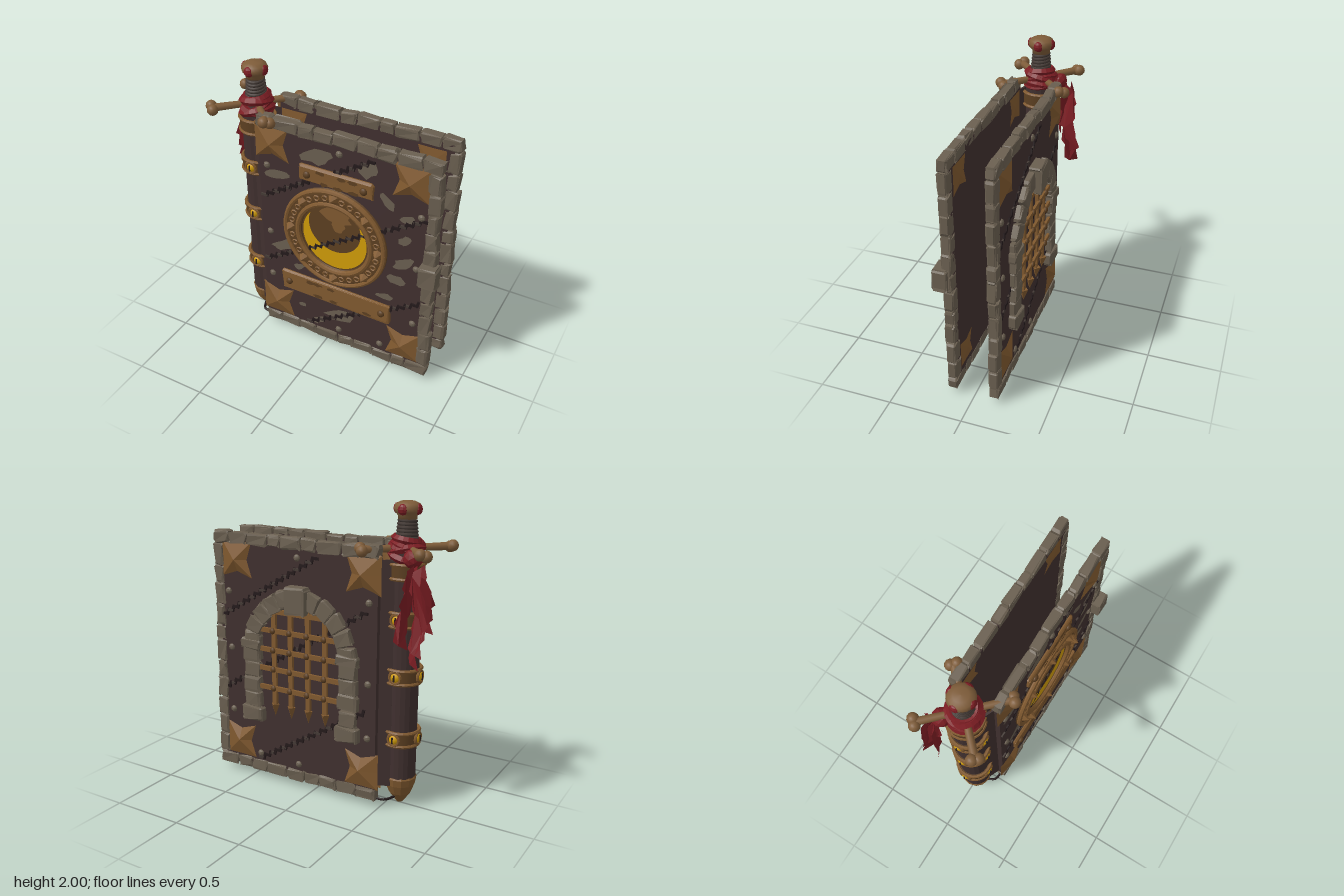
import * as THREE from 'three';
import { RoundedBoxGeometry } from 'three/addons/geometries/RoundedBoxGeometry.js';

const paint = (name, color, opts = {}) => {
  const m = new THREE.MeshStandardMaterial({ color, ...opts });
  m.name = name;
  return m;
};
const flat = { flatShading: true };
const leather = paint('leather', 0x40302f, flat);
const stone = paint('stone', 0x6a5f50, flat);
const brass = paint('brass', 0x80592f, flat);
const bronze = paint('dark bronze', 0x5c3f21);
const bone = paint('bone', 0x7e5c39);
const gold = paint('gold', 0xd09c08);
const red = paint('red cloth', 0x7c1d23, { flatShading: true, side: THREE.DoubleSide });
const dark = paint('dark seam', 0x241a1b, flat);
const wrap = paint('grip wrap', 0x443a35);

let seed = 7;
const rnd = () => (seed = (seed * 16807) % 2147483647) / 2147483647;
const spread = a => (rnd() - 0.5) * 2 * a;

const add = (parent, name, geo, mat, x = 0, y = 0, z = 0) => {
  const m = new THREE.Mesh(geo, mat);
  m.name = name;
  m.position.set(x, y, z);
  parent.add(m);
  return m;
};

// Rough hewn block; coincident corners move together
function block(w, h, d, rough = 0.007) {
  const g = new RoundedBoxGeometry(w, h, d, 1, 0.013), p = g.attributes.position, k = rnd() * 50;
  const n = (a, b, c, s) => Math.sin(Math.round(a * 500) * 12.9 + Math.round(b * 500) * 78.2 + Math.round(c * 500) * 37.7 + s);
  for (let i = 0; i < p.count; i++) {
    const [x, y, z] = [p.getX(i), p.getY(i), p.getZ(i)];
    p.setXYZ(i, x + rough * n(x, y, z, k), y + rough * n(x, y, z, k + 2), z + rough * 0.5 * n(x, y, z, k + 4));
  }
  g.computeVertexNormals();
  return g;
}

// Corner ornament: faceted four-pointed star with filled sides toward the edges
function star(sx, sy, height) {
  const g = new THREE.ConeGeometry(1, height, 8).rotateX(Math.PI / 2), p = g.attributes.position;
  const reach = [sx > 0 ? 0.125 : 0.085, 0.18, sy > 0 ? 0.125 : 0.085, 0.18, sx < 0 ? 0.125 : 0.085, 0.18, sy < 0 ? 0.125 : 0.085, 0.18];
  for (let i = 0; i < p.count; i++) {
    const r = reach[(Math.round(Math.atan2(p.getY(i), p.getX(i)) / (Math.PI / 4)) + 8) % 8];
    p.setXY(i, p.getX(i) * r, p.getY(i) * r);
  }
  g.computeVertexNormals();
  return g.translate(0, 0, height / 2);
}

// Irregular thin patch
function blob(rx, ry) {
  const pts = [];
  for (let i = 0; i < 12; i++) {
    const a = i * Math.PI / 6, r = 0.7 + rnd() * 0.45;
    pts.push(new THREE.Vector2(Math.cos(a) * rx * r, Math.sin(a) * ry * r));
  }
  return new THREE.ShapeGeometry(new THREE.Shape(pts));
}
const dome = r => new THREE.SphereGeometry(r, 10, 6).scale(1, 1, 0.7);

// Run of edge stones between two ends
function stoneRun(parent, from, to, fixed, vertical) {
  const n = Math.round((to - from) / 0.14), cuts = [from];
  for (let i = 1; i < n; i++) cuts.push(from + (to - from) * i / n + spread(0.025));
  cuts.push(to);
  for (let i = 0; i < n; i++) {
    const l = cuts[i + 1] - cuts[i] - 0.003, c = (cuts[i] + cuts[i + 1]) / 2, t = 0.08 + spread(0.006);
    add(parent, 'edgeStone', vertical ? block(t, l, 0.066) : block(l, t, 0.066), stone,
      vertical ? fixed : c, vertical ? c : fixed, 0.144 + spread(0.003));
  }
}

// One cover facing +z; out is the side away from the spine
function cover(out) {
  const g = new THREE.Group();
  add(g, 'coverBoard', new THREE.BoxGeometry(1.22, 1.62, 0.05), leather, -out * 0.02, 0.892, 0.14);
  stoneRun(g, -0.635, 0.635, 1.698, false);
  stoneRun(g, -0.635, 0.635, 0.087, false);
  stoneRun(g, 0.13, 1.655, out * 0.595, true);
  for (const sx of [-1, 1]) for (const sy of [-1, 1]) {
    const x = sx === out ? out * 0.445 : -out * 0.525, y = sy > 0 ? 1.555 : 0.255;
    add(g, 'cornerStar', star(sx, sy, 0.042), brass, x, y, 0.163);
    add(g, 'innerCornerStar', star(-sx, sy, 0.008), brass, x, y, 0.117).rotation.y = Math.PI;
  }
  // braided scars running diagonally
  for (const [x1, y1, x2, y2] of [[-0.6, 1.14, 0.18, 1.62], [-0.6, 0.61, 0.54, 1.31], [-0.27, 0.15, 0.54, 0.65]]) {
    const len = Math.hypot(x2 - x1, y2 - y1), n = Math.round(len / 0.027), a = Math.atan2(y2 - y1, x2 - x1);
    for (let i = 0; i <= n; i++) {
      const s = add(g, 'braidedScar', new THREE.BoxGeometry(0.05, 0.018, 0.016), i % 4 ? dark : wrap,
        x1 + (x2 - x1) * i / n, y1 + (y2 - y1) * i / n, 0.167);
      s.rotation.z = a + (i % 2 ? 0.75 : -0.55);
    }
  }
  // rivets
  for (const [x, y] of [[-0.04, 1.61], [-0.04, 0.17], [0.28, 0.18], [-0.57, 1.38], [0.52, 1.33], [0.51, 0.47], [-0.57, 0.48], [0.51, 0.93], [-0.57, 0.85]])
    add(g, 'rivet', dome(0.024), stone, x * out, y, 0.166);
  return g;
}

function frontDetails(g) {
  const cx = -0.07, cy = 0.965;
  // worn patches
  for (const [x, y, rx, ry, a] of [[-0.2, 1.55, 0.12, 0.06, 0.2], [0.16, 1.56, 0.08, 0.06, 0.5], [0.3, 1.37, 0.07, 0.035, -0.7], [-0.5, 1.33, 0.1, 0.035, 0.2],
    [0.43, 1.28, 0.05, 0.03, 0.5], [0.42, 0.94, 0.08, 0.04, 0.6], [0.37, 0.79, 0.07, 0.04, 0], [-0.47, 0.76, 0.11, 0.045, 0.5], [-0.03, 0.3, 0.14, 0.05, 0.2],
    [-0.33, 0.28, 0.03, 0.02, 0], [-0.2, 0.19, 0.07, 0.03, 0.6], [0.42, 1.12, 0.05, 0.03, 0.7], [0.3, 0.62, 0.06, 0.03, 0.2], [-0.35, 0.62, 0.05, 0.03, 0.4]])
    add(g, 'wornPatch', blob(rx, ry), stone, x, y, 0.167).rotation.z = a;
  // medallion ring
  const ring = [[0.245, 0], [0.25, 0.018], [0.265, 0.03], [0.34, 0.03], [0.375, 0.018], [0.38, 0]].map(p => new THREE.Vector2(...p)).reverse();
  add(g, 'medallionRing', new THREE.LatheGeometry(ring, 48).rotateX(Math.PI / 2), bronze, cx, cy, 0.16);
  for (const [r, t] of [[0.362, 0.018], [0.268, 0.02]])
    add(g, 'medallionRim', new THREE.TorusGeometry(r, t, 8, 48), brass, cx, cy, 0.183);
  for (let i = 0; i < 8; i++) {
    const a = i * Math.PI / 4;
    add(g, 'medallionSpike', new THREE.ConeGeometry(0.045, 0.055, 6).rotateX(Math.PI / 2), brass, cx + 0.322 * Math.cos(a), cy + 0.322 * Math.sin(a), 0.207);
    for (const o of [-0.22, 0, 0.22]) {
      const b = a + Math.PI / 8 + o * 0.9;
      add(g, 'engraving', new THREE.TorusGeometry(0.018, 0.006, 4, 8), brass, cx + 0.315 * Math.cos(b), cy + 0.315 * Math.sin(b), 0.19);
    }
  }
  // moon face and crescent
  add(g, 'moonDisc', new THREE.CircleGeometry(0.25, 48), bronze, cx, cy, 0.17);
  const t1 = Math.atan2(0.155, 0.177), t2 = Math.atan2(0.07, 0.177), c = new THREE.Shape();
  c.absarc(0, 0, 0.235, t1, Math.PI - t1, true);
  c.absarc(0, 0.085, 0.19, Math.PI - t2, t2, false);
  add(g, 'crescent', new THREE.ShapeGeometry(c, 32), gold, cx, cy, 0.174);
  add(g, 'moonHighlight', blob(0.12, 0.055), brass, cx + 0.01, cy + 0.185, 0.175);
  add(g, 'moonHighlight', blob(0.05, 0.06), brass, cx + 0.03, cy + 0.11, 0.175);
  // riveted name plates
  for (const [x, y, w, h] of [[-0.06, 1.41, 0.52, 0.115], [-0.065, 0.48, 0.83, 0.155]]) {
    add(g, 'plate', block(w, h, 0.045, 0.005), brass, x, y, 0.165);
    for (const s of [-1, 1]) add(g, 'plateRivet', dome(0.026), bronze, x + s * (w / 2 - 0.06), y, 0.19);
    for (let i = 0; i < 6; i++)
      add(g, 'plateStain', blob(0.035, 0.015), bronze, x + spread(w * 0.4), y + (i % 2 ? 1 : -1) * h * 0.32, 0.192);
  }
  // clasp stone
  add(g, 'claspStone', block(0.12, 0.15, 0.1), stone, 0.605, 0.925, 0.183).rotation.z = 0.06;
}

function backDetails(g) {
  const cx = 0.06, cy = 0.97;
  for (const s of [-1, 1]) {
    add(g, 'archBase', block(0.16, 0.1, 0.075), stone, cx + s * 0.375, 0.49, 0.185);
    for (let i = 0; i < 4; i++) add(g, 'pillarStone', block(0.125 + (i % 2) * 0.012, 0.107, 0.055), stone, cx + s * 0.375, 0.593 + i * 0.11, 0.18);
    add(g, 'archCapital', block(0.155, 0.07, 0.07), stone, cx + s * 0.375, 0.99, 0.183);
  }
  for (let i = 0; i < 11; i++) {
    const a = (i + 0.5) * Math.PI / 11;
    if (i !== 5) add(g, 'archStone', block(0.125, 0.108, 0.055), stone, cx + 0.375 * Math.cos(a), cy + 0.375 * Math.sin(a), 0.18).rotation.z = a;
  }
  add(g, 'keystone', block(0.15, 0.18, 0.095), stone, cx, 1.335, 0.2);
  // portcullis
  for (const o of [-0.2, -0.068, 0.068, 0.2]) {
    const top = cy + Math.sqrt(0.33 ** 2 - o * o), h = top - 0.58;
    add(g, 'gateBar', new THREE.BoxGeometry(0.034, h, 0.02), brass, cx + o, 0.58 + h / 2, 0.178);
    add(g, 'gateSpike', new THREE.ConeGeometry(0.032, 0.09, 4).rotateX(Math.PI), brass, cx + o, 0.54, 0.178);
    for (let i = 0; i < 4; i++) add(g, 'gateStud', dome(0.022), bronze, cx + o, 0.7 + i * 0.135, 0.198);
  }
  for (let i = 0; i < 5; i++) {
    const y = 0.7 + i * 0.135, w = y > cy ? 2 * Math.sqrt(0.33 ** 2 - (y - cy) ** 2) : 0.64;
    add(g, 'gateCrossbar', new THREE.BoxGeometry(w, 0.032, 0.018), brass, cx, y, 0.19);
  }
}

// Torn cloth strip hanging from its top edge
function strip(w, len) {
  const l = [], r = [];
  for (let i = 0; i <= 9; i++) {
    const y = -len * i / 9, t = w / 2 * (0.6 + 0.5 * Math.sin(i / 9 * 2.6));
    l.push([-t * (i % 2 ? 1 : 0.7) + 0.012 * Math.sin(i), y - (i % 2) * 0.03]);
    r.unshift([t * (i % 2 ? 0.65 : 1) + 0.012 * Math.sin(i), y - (i % 2 ? 0 : 0.03)]);
  }
  const g = new THREE.ShapeGeometry(new THREE.Shape([...l, ...r].map(p => new THREE.Vector2(...p)))), p = g.attributes.position;
  for (let i = 0; i < p.count; i++) p.setZ(i, 0.02 * Math.sin(p.getY(i) * 14) + p.getX(i) ** 2 * 4);
  g.computeVertexNormals();
  return g;
}

function sword() {
  const g = new THREE.Group();
  const lathe = (pts, n = 20) => new THREE.LatheGeometry(pts.map(p => new THREE.Vector2(...p)), n);
  add(g, 'scabbard', new THREE.CylinderGeometry(0.103, 0.1, 1.53, 20), leather, 0, 0.94, 0);
  add(g, 'scabbardTip', lathe([[0, 0], [0.022, 0.012], [0.075, 0.085], [0.1, 0.15], [0.108, 0.2], [0.1, 0.212], [0.09, 0.212]], 12), brass);
  add(g, 'bladeCollar', new THREE.CylinderGeometry(0.108, 0.108, 0.09, 20), brass, 0, 1.58, 0);
  // collars, with slit-pupil eyes on the lower three
  for (const y of [1.58, 1.28, 0.91, 0.49]) {
    add(g, 'collar', new THREE.CylinderGeometry(0.117, 0.117, 0.09, 20), bronze, 0, y, 0);
    for (const s of [-1, 1]) add(g, 'collarRim', new THREE.TorusGeometry(0.116, 0.012, 6, 24).rotateX(Math.PI / 2), brass, 0, y + s * 0.044, 0);
    if (y < 1.5) for (let i = 0; i < 4; i++) {
      const eye = new THREE.Group();
      eye.name = 'collarEye';
      eye.position.y = y;
      eye.rotation.y = i * Math.PI / 2;
      add(eye, 'eyeRim', new THREE.TorusGeometry(0.038, 0.01, 6, 16), brass, 0, 0, 0.118);
      add(eye, 'eyeBall', dome(0.033), gold, 0, 0, 0.112);
      add(eye, 'eyePupil', new THREE.BoxGeometry(0.009, 0.042, 0.008), dark, 0, 0, 0.133);
      g.add(eye);
    }
  }
  // grip and pommel
  add(g, 'grip', new THREE.CylinderGeometry(0.052, 0.065, 0.2, 14), wrap, 0, 1.8, 0);
  for (let i = 0; i < 6; i++) add(g, 'gripBinding', new THREE.TorusGeometry(0.062 - i * 0.002, 0.011, 6, 16).rotateX(Math.PI / 2 + 0.12), wrap, 0, 1.775 + i * 0.021, 0);
  add(g, 'pommel', lathe([[0.04, 1.885], [0.06, 1.893], [0.058, 1.91], [0.08, 1.935], [0.086, 1.958], [0.075, 1.982], [0.045, 1.997], [0, 2]]), bone);
  for (let i = 0; i < 4; i++) {
    const a = i * Math.PI / 2;
    add(g, 'pommelGem', dome(0.034), red, Math.sin(a) * 0.07, 1.952, Math.cos(a) * 0.07).rotation.y = a;
  }
  // crossed bone guard
  for (let i = 0; i < 4; i++) {
    const arm = new THREE.Group();
    arm.name = 'boneGuard';
    arm.position.y = 1.715;
    arm.rotation.y = Math.PI / 4 + i * Math.PI / 2;
    add(arm, 'boneShaft', new THREE.CylinderGeometry(0.026, 0.021, 0.28, 10).rotateZ(-Math.PI / 2), bone, 0.15, 0, 0);
    for (const s of [-1, 1]) add(arm, 'boneKnob', new THREE.SphereGeometry(0.037, 12, 8), bone, 0.29, s * 0.006, s * 0.02);
    g.add(arm);
  }
  // wrapped cloth and torn tails
  for (const [y, r, tx, tz] of [[1.765, 0.075, 0.1, 0.15], [1.735, 0.09, -0.2, 0.1], [1.7, 0.095, 0.15, -0.25], [1.67, 0.1, -0.1, 0.3], [1.705, 0.09, 0.3, 0.35]])
    add(g, 'clothWrap', new THREE.TorusGeometry(r, 0.026, 5, 18).rotateX(Math.PI / 2), red, 0, y, 0).rotation.set(tx, 0, tz);
  for (const [x, z, w, len, ry, rz] of [[-0.12, -0.13, 0.12, 0.6, -0.6, -0.1], [-0.15, -0.11, 0.1, 0.4, 0.5, -0.14], [-0.11, -0.16, 0.11, 0.48, 1.2, 0.08], [-0.16, -0.17, 0.1, 0.52, 0, -0.04]])
    add(g, 'clothTail', strip(w, len), red, x, 1.64, z).rotation.set(0.06, ry, rz);
  add(g, 'clothKnot', new THREE.IcosahedronGeometry(0.06, 1), red, -0.09, 1.67, -0.1);
  return g;
}

export function createModel() {
  const model = new THREE.Group();
  model.name = 'ancientTome';
  const front = cover(1), back = cover(-1), spine = sword();
  front.name = 'frontCover';
  back.name = 'backCover';
  spine.name = 'swordSpine';
  frontDetails(front);
  backDetails(back);
  front.position.x = back.position.x = 0.155;
  back.rotation.y = Math.PI;
  spine.position.x = -0.58;
  model.add(front, back, spine);
  // hinge strap around the bottom of the spine, and leather hinges
  const loop = [[-0.47, 0.14], [-0.53, 0.13], [-0.565, 0.06], [-0.57, 0], [-0.565, -0.06], [-0.53, -0.13], [-0.47, -0.14]];
  const path = new THREE.CatmullRomCurve3(loop.map(([x, z]) => new THREE.Vector3(x, 0.06, z)));
  add(model, 'hingeStrap', new THREE.TubeGeometry(path, 20, 0.009, 6), dark);
  for (const s of [-1, 1])
    add(model, 'leatherHinge', new THREE.BoxGeometry(0.11, 1.5, 0.016), leather, -0.5, 0.9, s * 0.112).rotation.y = -s * 0.4;
  return model;
}
